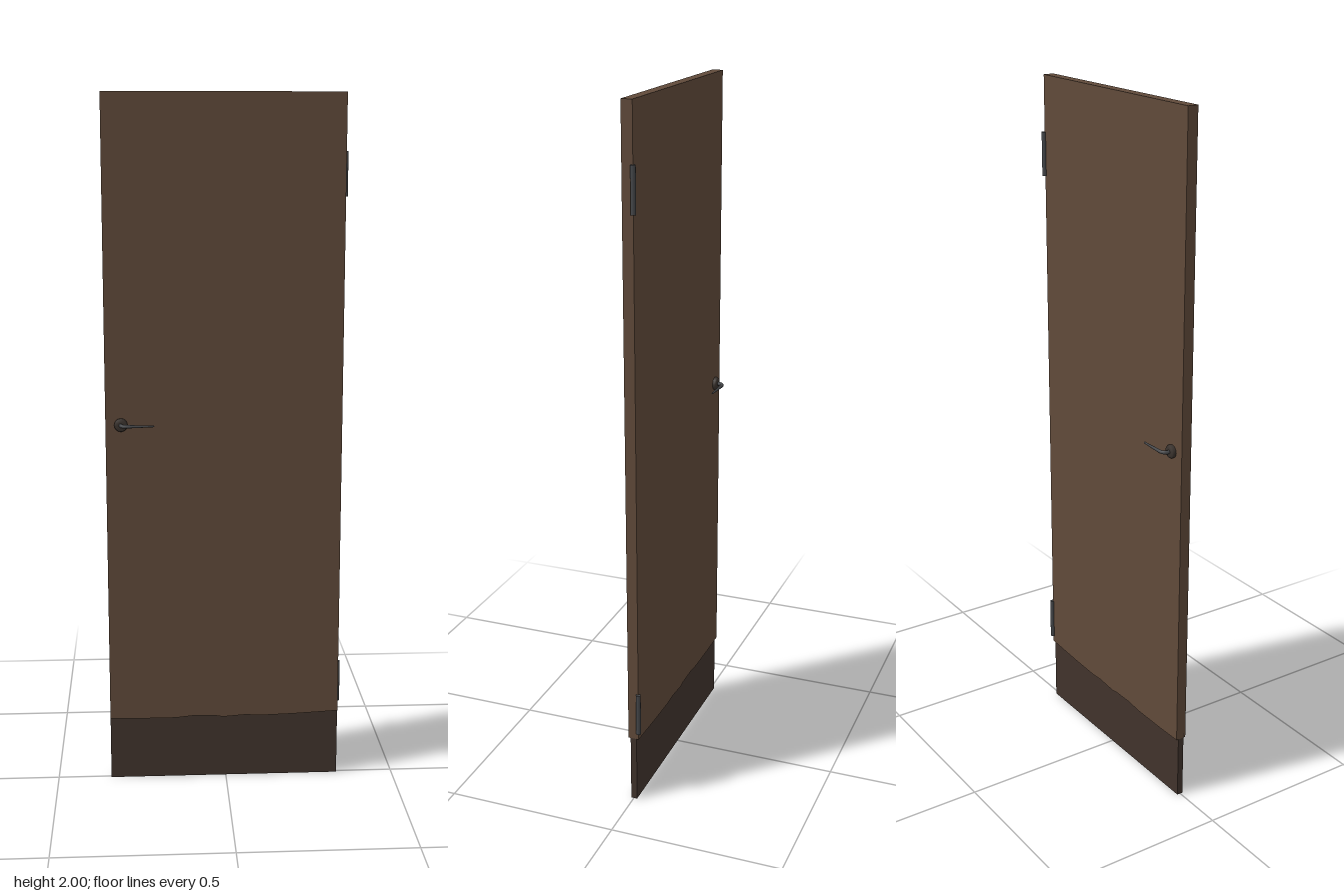
import * as THREE from 'three';

const wood = new THREE.MeshStandardMaterial({ name: 'brown wood', color: 0x604a3a });
const kick = new THREE.MeshStandardMaterial({ name: 'dark brown flap', color: 0x40332c });
const steel = new THREE.MeshStandardMaterial({ name: 'dark steel', color: 0x45474a });
const bronze = new THREE.MeshStandardMaterial({ name: 'dark bronze', color: 0x3a332e });

const Z0 = -0.001; // middle plane of the door
const LEFT = 0.334, RIGHT = -0.343;

function add(parent, name, geometry, material, x = 0, y = 0, z = 0) {
  const mesh = new THREE.Mesh(geometry, material);
  mesh.name = name;
  mesh.position.set(x, y, z);
  parent.add(mesh);
  return mesh;
}

// Tube along a curve that gets thinner toward its end
function taperedTube(points, r0, r1, segments = 20, sides = 10) {
  const curve = new THREE.CatmullRomCurve3(points.map(p => new THREE.Vector3(...p)), false, 'centripetal');
  const geo = new THREE.TubeGeometry(curve, segments, r0, sides);
  const pos = geo.attributes.position, v = new THREE.Vector3();
  for (let i = 0; i <= segments; i++) {
    const t = i / segments, c = curve.getPointAt(t), k = 1 + (r1 / r0 - 1) * t;
    for (let j = 0; j <= sides; j++) {
      const n = i * (sides + 1) + j;
      v.fromBufferAttribute(pos, n).sub(c).multiplyScalar(k).add(c);
      pos.setXYZ(n, v.x, v.y, v.z);
    }
  }
  return geo;
}

function makeHandle(side) {
  const handle = new THREE.Group();
  handle.name = side > 0 ? 'frontHandle' : 'backHandle';
  handle.position.set(-0.299, 1.078, Z0);
  // Round rose with softened rim
  const profile = [[0.019, 0.01], [0.019, 0.022], [0.0165, 0.026], [0.008, 0.0265], [0.0001, 0.0265]]
    .map(p => new THREE.Vector2(...p));
  const rose = add(handle, 'rose', new THREE.LatheGeometry(profile, 16), bronze);
  rose.rotation.x = side * Math.PI / 2;
  // Bent lever and its rounded tip
  const lever = [[0, 0.02], [0, 0.031], [0.004, 0.039], [0.013, 0.0435], [0.03, 0.0435], [0.06, 0.0425], [0.092, 0.041]]
    .map(([x, z]) => [x, 0, z * side]);
  add(handle, 'lever', taperedTube(lever, 0.0058, 0.0026), steel);
  add(handle, 'leverTip', new THREE.SphereGeometry(0.0026, 10, 6), steel, 0.092, 0, 0.041 * side);
  return handle;
}

export function createModel() {
  const door = new THREE.Group();
  door.name = 'door';

  // Main panel with a slightly uneven lower edge
  const edge = [[RIGHT, 0.19], [-0.26, 0.188], [-0.15, 0.188], [-0.1, 0.193], [-0.03, 0.192],
    [-0.01, 0.188], [0.06, 0.193], [0.1, 0.19], [0.2, 0.193], [0.28, 0.197], [LEFT, 0.2]];
  const outline = [...edge, [LEFT, 2], [RIGHT, 2]].map(p => new THREE.Vector2(...p));
  const panel = new THREE.ExtrudeGeometry(new THREE.Shape(outline), { depth: 0.031, bevelEnabled: false });
  add(door, 'panel', panel, wood, 0, 0, Z0 - 0.0155);

  // Thinner flap below
  add(door, 'bottomFlap', new THREE.BoxGeometry(LEFT - RIGHT, 0.21, 0.018), kick, (LEFT + RIGHT) / 2, 0.105, Z0);

  // Hinge barrels at the back left corner
  for (const [name, y] of [['lowerHinge', 0.283], ['upperHinge', 1.778]]) {
    add(door, name, new THREE.CylinderGeometry(0.007, 0.007, 0.125, 12), steel, 0.336, y, -0.0175);
  }

  for (const side of [1, -1]) door.add(makeHandle(side));
  return door;
}
